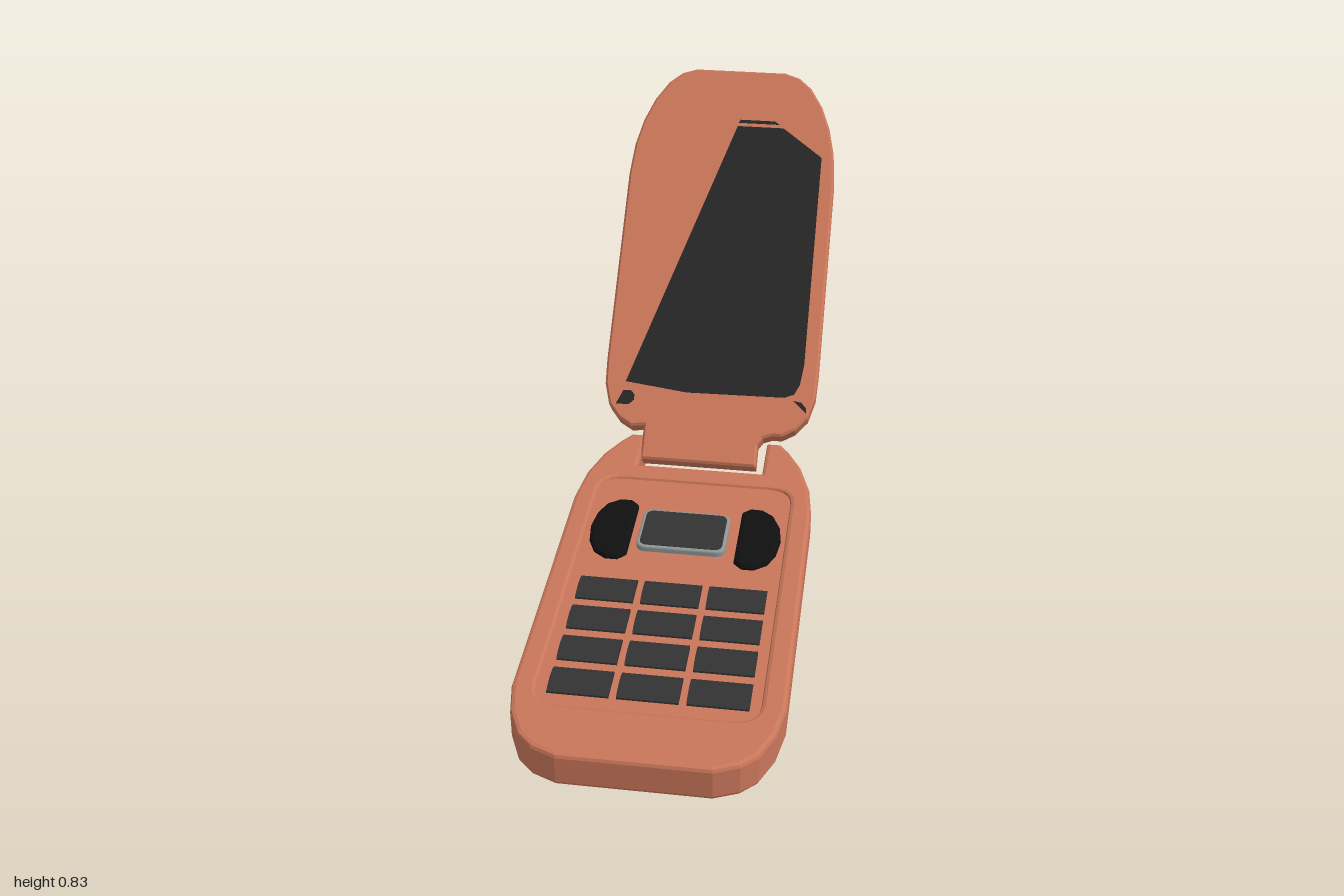
import * as THREE from 'three';

const mat = (color) => new THREE.MeshStandardMaterial({ color, flatShading: true, side: THREE.DoubleSide });
const shell = mat(0xc9765a), glass = mat(0x262626), keyMat = mat(0x333333), padMat = mat(0x101010), trim = mat(0x8c9694);

const toShape = (pts) => new THREE.Shape(pts.map(([x, y]) => new THREE.Vector2(x, y)));

// Slab of the given total depth whose bevel stays inside the outline
function slab(shape, depth, bevel, segments = 2) {
  const g = new THREE.ExtrudeGeometry(shape, {
    depth: depth - 2 * bevel, bevelEnabled: bevel > 0, bevelSize: bevel, bevelThickness: bevel,
    bevelOffset: -bevel, bevelSegments: segments, curveSegments: 5,
  });
  return g.translate(0, 0, bevel);
}

// Slab lying flat, outline given as (x, -z), underside at y
const flat = (shape, y, h, bevel) => slab(shape, h, bevel).rotateX(-Math.PI / 2).translate(0, y, 0);

function roundRect(x0, x1, z0, z1, r, target = new THREE.Shape()) {
  const a = -z1, b = -z0;
  target.moveTo(x0 + r, a).lineTo(x1 - r, a).quadraticCurveTo(x1, a, x1, a + r);
  target.lineTo(x1, b - r).quadraticCurveTo(x1, b, x1 - r, b);
  target.lineTo(x0 + r, b).quadraticCurveTo(x0, b, x0, b - r);
  target.lineTo(x0, a + r).quadraticCurveTo(x0, a, x0 + r, a);
  return target;
}

function add(parent, name, geometry, material) {
  const m = new THREE.Mesh(geometry, material);
  m.name = name;
  parent.add(m);
  return m;
}

function buildBase() {
  const base = new THREE.Group();
  base.name = 'base';
  // Right half of the outline from the hinge notch round to the front end
  const half = [[0.162, -0.06], [0.162, -0.2], [0.2, -0.2], [0.225, -0.165], [0.26, -0.1], [0.288, -0.01],
    [0.3, 0.09], [0.3, 0.8], [0.285, 0.88], [0.255, 0.945], [0.22, 0.978], [0.165, 1]];
  const outline = [...half.map(([x, z]) => [x, -z]), ...half.map(([x, z]) => [-x, -z]).reverse()];
  const body = toShape(outline);
  body.holes.push(roundRect(-0.245, 0.245, 0, 0.85, 0.06, new THREE.Path()));
  add(base, 'baseShell', flat(body, 0, 0.087, 0.01), shell);
  // Recessed panel carrying the keys
  add(base, 'keypadPanel', flat(roundRect(-0.256, 0.256, -0.011, 0.861, 0.06), 0, 0.078, 0), shell);

  // Number keys: shallow domes extruded across x
  const profile = toShape([[-0.04, 0.07], [0.04, 0.07], [0.04, 0.083], [0.025, 0.088], [0, 0.091], [-0.025, 0.088], [-0.04, 0.083]]);
  const keyGeo = new THREE.ExtrudeGeometry(profile, { depth: 0.136, bevelEnabled: false });
  keyGeo.translate(0, 0, -0.068).rotateY(-Math.PI / 2);
  for (let row = 0; row < 4; row++) {
    for (let col = -1; col <= 1; col++) {
      add(base, 'numberKey', keyGeo, keyMat).position.set(col * 0.153, 0, 0.45 + row * 0.107);
    }
  }

  // Rounded side pads
  for (const s of [-1, 1]) {
    const pad = toShape([[0.13, 0.12], [0.15, 0.102], [0.18, 0.103], [0.21, 0.125], [0.228, 0.165], [0.235, 0.215],
      [0.228, 0.27], [0.21, 0.31], [0.18, 0.332], [0.15, 0.332], [0.13, 0.312]].map(([x, z]) => [s * x, -z]));
    add(base, 'sidePad', flat(pad, 0.065, 0.028, 0.01), padMat);
  }
  // Centre button and its trim
  add(base, 'centreButtonTrim', flat(roundRect(-0.112, 0.105, 0.138, 0.292, 0.025), 0.07, 0.0225, 0.004), trim);
  add(base, 'centreButton', flat(roundRect(-0.104, 0.097, 0.146, 0.284, 0.02), 0.07, 0.0245, 0.002), keyMat);
  return base;
}

function buildLid() {
  const lid = new THREE.Group();
  lid.name = 'lid';
  const tilt = 0.845, y0 = 0.13;
  lid.rotation.x = -tilt;
  lid.position.set(0, y0, -0.172);
  // Heights are measured upright, then stretched along the sloping face
  const slope = (pts) => toShape(pts.map(([x, y]) => [x, (y - y0) / Math.cos(tilt)]));

  const side = [[0.2, 0.13], [0.235, 0.143], [0.265, 0.167], [0.281, 0.205], [0.284, 0.25], [0.284, 0.61],
    [0.277, 0.67], [0.26, 0.72], [0.235, 0.763], [0.2, 0.8], [0.165, 0.82], [0.125, 0.829]];
  const outline = [[-0.165, 0.072], [0.14, 0.072], [0.14, 0.112], [0.152, 0.124], [0.175, 0.13],
    ...side, ...side.map(([x, y]) => [-x, y]).reverse(), [-0.165, 0.133]];
  add(lid, 'lidShell', slab(slope(outline), 0.06, 0.006, 1).translate(0, 0, -0.06), shell);

  // Dark inlays on the inner face
  const inlay = (name, pts) =>
    add(lid, name, slab(slope(pts), 0.004, 0).translate(0, 0, -0.0025), glass);
  inlay('screen', [[-0.226, 0.21], [-0.06, 0.197], [0.2, 0.2], [0.225, 0.207], [0.238, 0.225], [0.245, 0.262],
    [0.245, 0.66], [0.133, 0.715], [0.005, 0.715]]);
  inlay('screenTopStrip', [[0.007, 0.722], [0.12, 0.722], [0.108, 0.728], [0.011, 0.728]]);
  inlay('leftHingeMark', [[0.225, 0.195], [0.246, 0.193], [0.259, 0.183], [0.26, 0.174]]);
  inlay('rightHingeMark', [[-0.246, 0.168], [-0.212, 0.168], [-0.199, 0.177], [-0.199, 0.187], [-0.21, 0.194], [-0.23, 0.193]]);
  return lid;
}

export function createModel() {
  const phone = new THREE.Group();
  phone.name = 'flipPhone';
  phone.add(buildBase(), buildLid());
  return phone;
}
